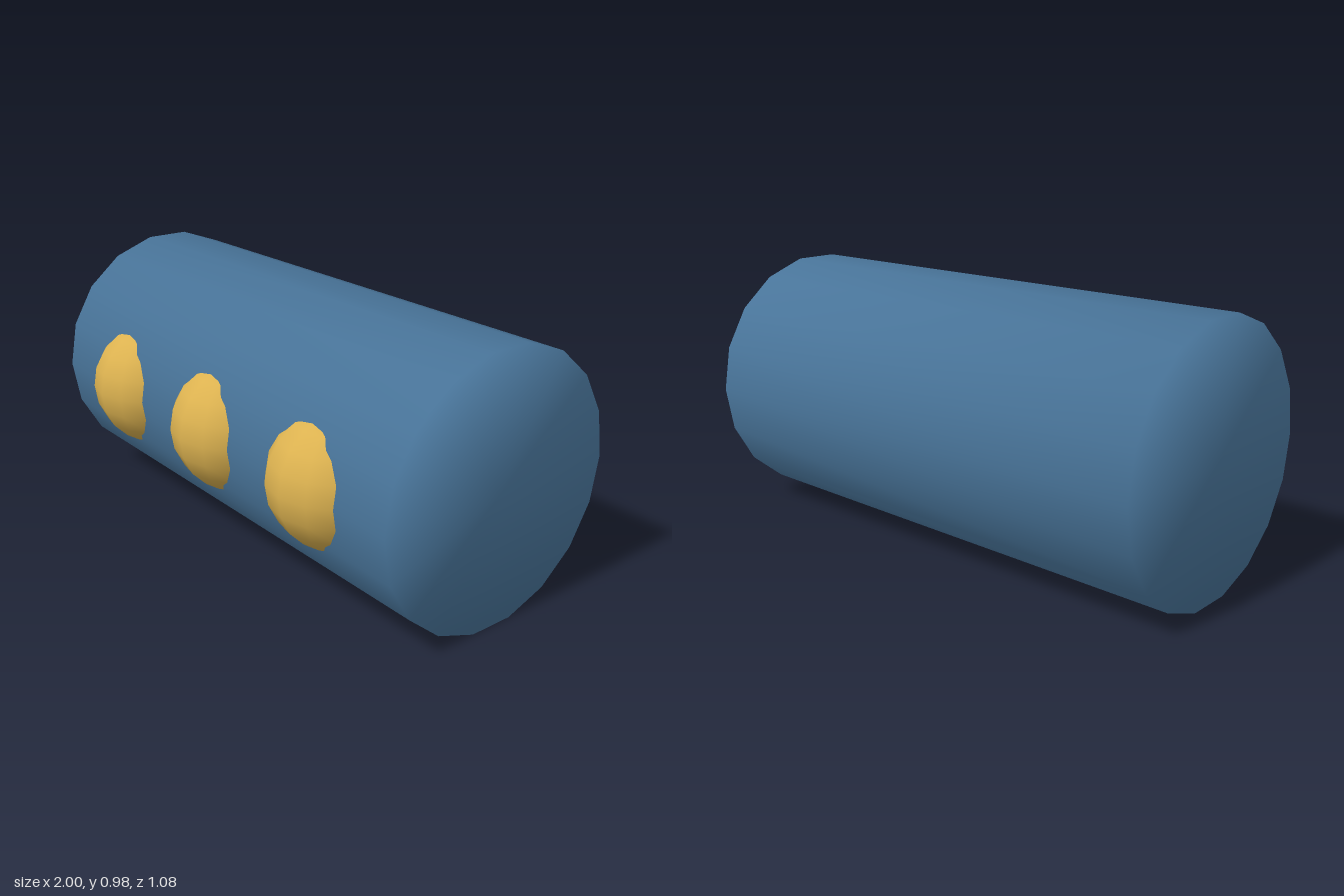
import * as THREE from 'three';

const blue = new THREE.MeshStandardMaterial({ name: 'steel blue', color: 0x4f7ea6 });
const yellow = new THREE.MeshStandardMaterial({ name: 'warm yellow', color: 0xdcb250 });

// 18-sided drum lying along x, with shading that rolls smoothly over the rims
function makeBody() {
  const geometry = new THREE.CylinderGeometry(0.5, 0.5, 2, 18);
  geometry.rotateZ(Math.PI / 2);
  const position = geometry.attributes.position;
  const n = new THREE.Vector3();
  for (let i = 0; i < position.count; i++) {
    n.fromBufferAttribute(position, i);
    n.set(Math.sign(n.x), n.y * 2, n.z * 2).normalize();
    geometry.attributes.normal.setXYZ(i, n.x, n.y, n.z);
  }
  const body = new THREE.Mesh(geometry, blue);
  body.name = 'body';
  body.position.set(0, 0.492, -0.04);
  return body;
}

export function createModel() {
  const model = new THREE.Group();
  model.name = 'drumWithKnobs';
  model.add(makeBody());

  // Row of balls sunk into the front of the drum
  const ball = new THREE.SphereGeometry(0.25, 14, 10).rotateY(Math.PI / 2);
  [['rightKnob', -0.585], ['middleKnob', 0], ['leftKnob', 0.585]].forEach(([name, x]) => {
    const knob = new THREE.Mesh(ball, yellow);
    knob.name = name;
    knob.position.set(x, 0.492, 0.29);
    model.add(knob);
  });
  return model;
}
